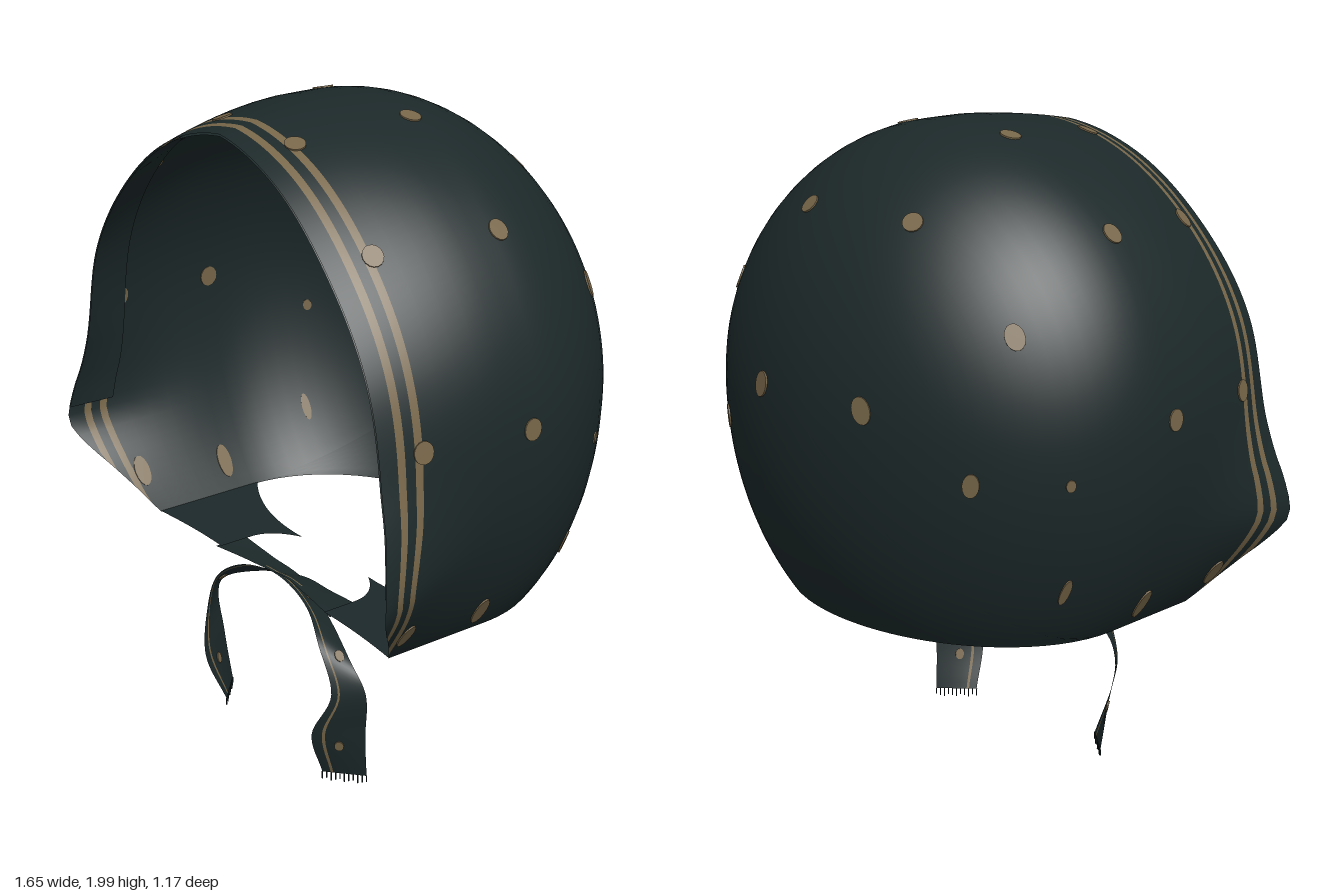
import * as THREE from 'three';
import { mergeVertices } from 'three/addons/utils/BufferGeometryUtils.js';

const cloth = new THREE.MeshStandardMaterial({ color: 0x1c2829, side: THREE.DoubleSide });
cloth.name = 'dark teal cloth';
const tan = new THREE.MeshStandardMaterial({ color: 0x776649, side: THREE.DoubleSide });
tan.name = 'tan print';

const CENTRE_Y = 1.2, Z0 = 0.05, DEPTH = 0.635, NECK_Y = 0.57;
const CHEEK = Math.asin(0.7272); // angle below horizontal where the cheek meets the neck opening

// Face edge by angle in degrees: [z of the edge, outward flare]
const RIM_ANGLES = [-46.7, -40, -34, -28, -23, -17, -11, -2, 20, 45, 70, 90];
const RIM_VALUES = [
  [0.4, 0], [0.45, 0.012], [0.5, 0.032], [0.553, 0.062], [0.586, 0.08], [0.575, 0.045],
  [0.555, 0], [0.543, -0.045], [0.538, -0.07], [0.533, -0.09], [0.525, -0.07], [0.52, -0.045],
];
const rim = new THREE.CubicInterpolant(RIM_ANGLES, RIM_VALUES.flat(), 2, new Float32Array(2));
const foldedAngle = (phi) => THREE.MathUtils.radToDeg(Math.asin(Math.sin(phi)));
const rimAt = (phi) => rim.evaluate(foldedAngle(phi));

function outline(phi) {
  const s = Math.max(0, -Math.sin(phi));
  return 0.795 + 0.135 * s * s;
}

// Point of the hood at an angle around the head and a depth z
function hoodPoint(phi, z, inset = 0) {
  const [rz, flare] = rimAt(phi);
  const g = z < Z0 ? Math.sqrt(Math.max(0, 1 - ((z - Z0) / DEPTH) ** 2)) : 1;
  const f = THREE.MathUtils.clamp((z - 0.15) / (rz - 0.15), 0, 1) ** 1.6;
  const r = outline(phi) * g + flare * f - inset;
  return new THREE.Vector3(r * Math.cos(phi), CENTRE_Y + r * Math.sin(phi), z);
}

// Smooth surface from grids of points; isTan picks the printed cells
function surface(grids) {
  const pos = [], dark = [], light = [];
  for (const { rows, isTan } of grids) {
    const base = pos.length / 3, n = rows[0].length;
    rows.forEach((row) => row.forEach((p) => pos.push(p.x, p.y, p.z)));
    for (let i = 0; i < rows.length - 1; i++) {
      for (let j = 0; j < n - 1; j++) {
        const a = base + i * n + j, b = a + n;
        (isTan(i, j) ? light : dark).push(a, b, a + 1, b, b + 1, a + 1);
      }
    }
  }
  let geo = new THREE.BufferGeometry();
  geo.setAttribute('position', new THREE.Float32BufferAttribute(pos, 3));
  geo.setIndex([...dark, ...light]);
  geo = mergeVertices(geo, 1e-4);
  geo.clearGroups();
  geo.addGroup(0, dark.length, 0);
  geo.addGroup(dark.length, light.length, 1);
  geo.computeVertexNormals();
  return geo;
}

function makeHood() {
  const ARC = 20, COLS = 120, STRAIGHT = 6;
  const bands = [0.122, 0.1, 0.072, 0.05, 0.0]; // stripe distances back from the face edge
  // Crown, sides and cheeks up to the face edge; below the flare the edge cuts across the stripes
  const face = [];
  for (let j = 0; j <= COLS; j++) {
    const phi = -CHEEK + (j / COLS) * (Math.PI + 2 * CHEEK);
    const rz = rimAt(phi)[0], a = foldedAngle(phi), col = [];
    const ref = a < -23 ? 0.586 + (a + 23) * 0.002 : rz;
    const stripes = bands.map((d) => Math.min(rz, ref - d));
    stripes[4] = rz;
    for (let k = 0; k <= ARC; k++) col.push(Z0 - DEPTH * Math.cos((k / ARC) * Math.PI / 2));
    for (let k = 1; k < STRAIGHT; k++) col.push(Z0 + (k / STRAIGHT) * (stripes[0] - Z0));
    face.push([...col, ...stripes].map((z) => hoodPoint(phi, z)));
  }
  const first = ARC + STRAIGHT;
  // Nape, ending at the level neck opening
  const nape = [];
  for (let j = 0; j <= 40; j++) {
    const w = (1 - Math.cos((j / 40) * Math.PI)) / 2;
    const phi = Math.PI + CHEEK + w * (Math.PI - 2 * CHEEK);
    const g = Math.min(1, (CENTRE_Y - NECK_Y) / (-Math.sin(phi) * outline(phi)));
    const end = j === 0 || j === 40 ? Math.PI / 2 : Math.asin(g);
    const col = [];
    for (let k = 0; k <= ARC; k++) col.push(hoodPoint(phi, Z0 - DEPTH * Math.cos((k / ARC) * end)));
    nape.push(col);
  }
  const geo = surface([
    { rows: face, isTan: (i, j) => j === first || j === first + 2 },
    { rows: nape, isTan: () => false },
  ]);
  const mesh = new THREE.Mesh(geo, [cloth, tan]);
  mesh.name = 'hood';
  return mesh;
}

// Plain facing on the inside of the face edge, from cheek to cheek
function makeFacing() {
  const rows = [], low = THREE.MathUtils.degToRad(-20);
  for (let j = 0; j <= 90; j++) {
    const phi = low + (j / 90) * (Math.PI - 2 * low), rz = rimAt(phi)[0];
    rows.push([0.14, 0.1, 0.06, 0.03, 0].map((d) => hoodPoint(phi, rz - d, 0.006)));
  }
  const mesh = new THREE.Mesh(surface([{ rows, isTan: () => false }]), [cloth, tan]);
  mesh.name = 'faceEdgeFacing';
  return mesh;
}

// Thin printed oval, visible from both sides of the cloth; u and v are tangents
function spot(name, point, u, v, sizeU, sizeV) {
  const m = new THREE.Mesh(new THREE.CylinderGeometry(1, 1, 0.007, 16), tan);
  const x = u.clone().normalize(), y = v.clone().cross(u).normalize();
  m.quaternion.setFromRotationMatrix(new THREE.Matrix4().makeBasis(x, y, x.clone().cross(y)));
  m.scale.set(sizeU, 1, sizeV);
  m.position.copy(point);
  m.name = name;
  return m;
}

function makeHoodSpots() {
  const group = new THREE.Group();
  group.name = 'hoodSpots';
  // [angle in degrees, z, half size around the head, half size along it]
  const spots = [
    [70, -0.36], [28.5, -0.33, 0.038, 0.028], [21, -0.56, 0.04, 0.03], [-11, -0.438, 0.035, 0.024],
    [-8, -0.25, 0.018, 0.014], [-34, -0.2, 0.045, 0.014], [75, 0.03], [42.5, 0.03], [3, 0.07],
    [-40, 0.12, 0.055, 0.024], [76.6, 0.397], [44.5, 0.407], [4, 0.415], [-37, 0.41, 0.05, 0.025],
  ];
  for (const [deg, z, su = 0.032, sv = 0.029] of spots) {
    for (const side of [1, -1]) {
      const a = THREE.MathUtils.degToRad(deg), phi = side > 0 ? a : Math.PI - a, e = 0.01;
      const p = hoodPoint(phi, z);
      const u = hoodPoint(phi + e, z).sub(p), v = hoodPoint(phi, z + e).sub(p);
      group.add(spot('hoodSpot', p, u, v, su, sv));
    }
  }
  return group;
}

// Tie sections: centre, then half-width vector
const TIE = [
  [[0.3, 0.568, 0.33], [0, 0, 0.055]],
  [[0.15, 0.565, 0.32], [0, 0.008, 0.045]],
  [[0, 0.557, 0.31], [0, 0.014, 0.04]],
  [[-0.18, 0.52, 0.34], [0.01, 0.026, 0.035]],
  [[-0.3, 0.45, 0.37], [0.03, 0.024, 0.035]],
  [[-0.36, 0.34, 0.365], [0.03, 0, 0.04]],
  [[-0.33, 0.2, 0.38], [0.045, 0, 0.065]],
  [[-0.31, 0.04, 0.345], [0.05, 0, 0.045]],
];

function makeTie(side) {
  const group = new THREE.Group();
  group.name = side > 0 ? 'leftTie' : 'rightTie';
  const drop = side > 0 ? 0 : -0.008;

  // Cheek flap folded under the chin, with a pointed inner corner
  const shape = new THREE.Shape();
  shape.moveTo(0.597 * side, 0.03);
  shape.quadraticCurveTo(0.4 * side, 0.16, 0.17 * side, 0.15);
  shape.quadraticCurveTo(0.27 * side, 0.2, 0.27 * side, 0.275);
  shape.lineTo(0.27 * side, 0.385);
  shape.quadraticCurveTo(0.42 * side, 0.38, 0.597 * side, 0.4);
  const flap = new THREE.Mesh(new THREE.ShapeGeometry(shape).rotateX(Math.PI / 2), cloth);
  flap.position.y = NECK_Y + 0.002;
  flap.name = 'cheekFlap';
  group.add(flap);

  const curve = (k) => new THREE.CatmullRomCurve3(TIE.map((s) => new THREE.Vector3(
    s[k][0] * side, s[k][1] + (k === 0 ? drop : 0), s[k][2])));
  const path = curve(0), width = curve(1);
  const at = (t, f) => path.getPoint(t).addScaledVector(width.getPoint(t), f);

  // Ribbon with a narrow printed line
  const STEPS = 56, across = [-1, -0.4, 0.2, 0.5, 0.62, 1];
  const rows = [];
  for (let i = 0; i <= STEPS; i++) rows.push(across.map((f) => at(i / STEPS, f)));
  const ribbon = new THREE.Mesh(
    surface([{ rows, isTan: (i, j) => j === 3 && i > 10 }]), [cloth, tan]);
  ribbon.name = 'tieRibbon';
  group.add(ribbon);

  // Spots along the ribbon
  for (const [t, f] of [[0.36, -0.2], [0.57, -0.3], [0.9, 0]]) {
    group.add(spot('tieSpot', at(t, f), path.getTangent(t), width.getPoint(t), 0.018, 0.014));
  }

  // Frayed threads at the end
  for (let k = 0; k <= 10; k++) {
    const p = at(1, -1 + k / 5), len = 0.02 + 0.008 * ((k * 7) % 3) / 2;
    const thread = new THREE.Mesh(new THREE.BoxGeometry(0.003, len, 0.003), cloth);
    thread.position.set(p.x, p.y - len / 2, p.z);
    thread.name = 'fringeThread';
    group.add(thread);
  }
  return group;
}

export function createModel() {
  const model = new THREE.Group();
  model.name = 'bonnet';
  model.add(makeHood(), makeFacing(), makeHoodSpots(), makeTie(1), makeTie(-1));
  return model;
}
